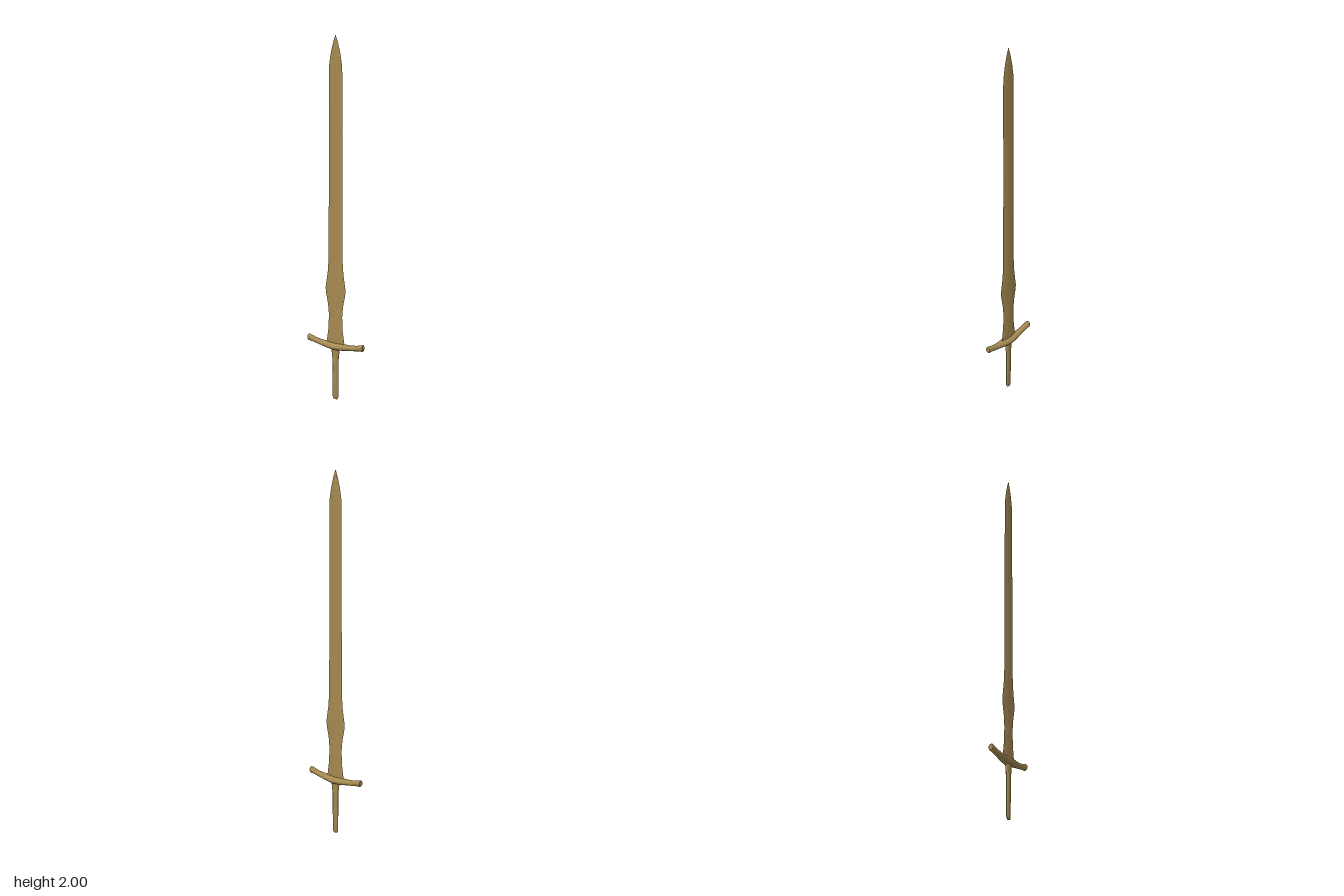
import * as THREE from 'three';
import { toCreasedNormals } from 'three/addons/utils/BufferGeometryUtils.js';

const bronze = new THREE.MeshStandardMaterial({ color: 0xa58a50 });

// Skin a list of closed rings (arrays of [x, y, z]) and cap both ends
function loft(name, rings, crease) {
  const n = rings[0].length;
  const positions = rings.flat(2);
  const index = [];
  for (let i = 0; i < rings.length - 1; i++) {
    for (let j = 0; j < n; j++) {
      const k = (j + 1) % n;
      const a = i * n + j, b = i * n + k;
      index.push(a, b, b + n, a, b + n, a + n);
    }
  }
  const last = (rings.length - 1) * n;
  for (let j = 1; j < n - 1; j++) {
    index.push(0, j + 1, j, last, last + j, last + j + 1);
  }
  const geometry = new THREE.BufferGeometry();
  geometry.setAttribute('position', new THREE.Float32BufferAttribute(positions, 3));
  geometry.setIndex(index);
  const mesh = new THREE.Mesh(toCreasedNormals(geometry, crease), bronze);
  mesh.name = name;
  return mesh;
}

// Unit ellipse as [cos, sin] pairs
const circle = (n) => Array.from({ length: n }, (_, i) => {
  const a = (i / n) * Math.PI * 2;
  return [Math.cos(a), Math.sin(a)];
});

// Leaf-waisted blade: [height, half thickness, half width]
function blade() {
  const stations = [
    [0.30, 0.007, 0.064], [0.34, 0.007, 0.058], [0.40, 0.007, 0.049], [0.48, 0.007, 0.045],
    [0.54, 0.007, 0.051], [0.60, 0.007, 0.064], [0.63, 0.007, 0.068], [0.66, 0.007, 0.063],
    [0.72, 0.007, 0.053], [0.80, 0.007, 0.047], [1.19, 0.006, 0.045], [1.50, 0.005, 0.044],
    [1.80, 0.004, 0.044], [1.85, 0.004, 0.041], [1.91, 0.0035, 0.030], [1.96, 0.003, 0.016],
    [2.0, 0.0005, 0.0005],
  ];
  // Flattened diamond section with sharp cutting edges
  const section = [[1, -0.12], [1, 0.12], [0.6, 0.5], [0, 1], [-0.6, 0.5],
    [-1, 0.12], [-1, -0.12], [-0.6, -0.5], [0, -1], [0.6, -0.5]];
  return loft('blade', stations.map(([y, t, w]) => section.map(([x, s]) => [x * t, y, -s * w])), 0.3);
}

// Guard: tapers outward and sweeps up toward both ends
function guard() {
  const half = [[0, 0.031, 0.020, 0.306], [0.03, 0.029, 0.019, 0.307], [0.06, 0.025, 0.017, 0.309],
    [0.10, 0.020, 0.015, 0.313], [0.14, 0.017, 0.015, 0.319], [0.165, 0.0155, 0.017, 0.325],
    [0.182, 0.0155, 0.019, 0.327], [0.186, 0.013, 0.016, 0.328]];
  const mirrored = half.slice(1).reverse().map(([z, ...rest]) => [-z, ...rest]);
  const rings = [...mirrored, ...half].map(([z, rx, ry, cy]) =>
    circle(16).map(([c, s]) => [c * rx, cy + s * ry, z]));
  return loft('guard', rings, 0.9);
}

// Oval grip: [height, half thickness, half width]
function grip() {
  const stations = [[0, 0.004, 0.010], [0.004, 0.006, 0.015], [0.014, 0.008, 0.019],
    [0.09, 0.008, 0.019], [0.11, 0.010, 0.019], [0.23, 0.011, 0.020],
    [0.26, 0.012, 0.023], [0.30, 0.013, 0.030]];
  return loft('grip', stations.map(([y, rx, rz]) =>
    circle(16).map(([c, s]) => [c * rx, y, -s * rz])), 0.9);
}

export function createModel() {
  const sword = new THREE.Group();
  sword.name = 'sword';
  sword.add(blade(), guard(), grip());
  return sword;
}
